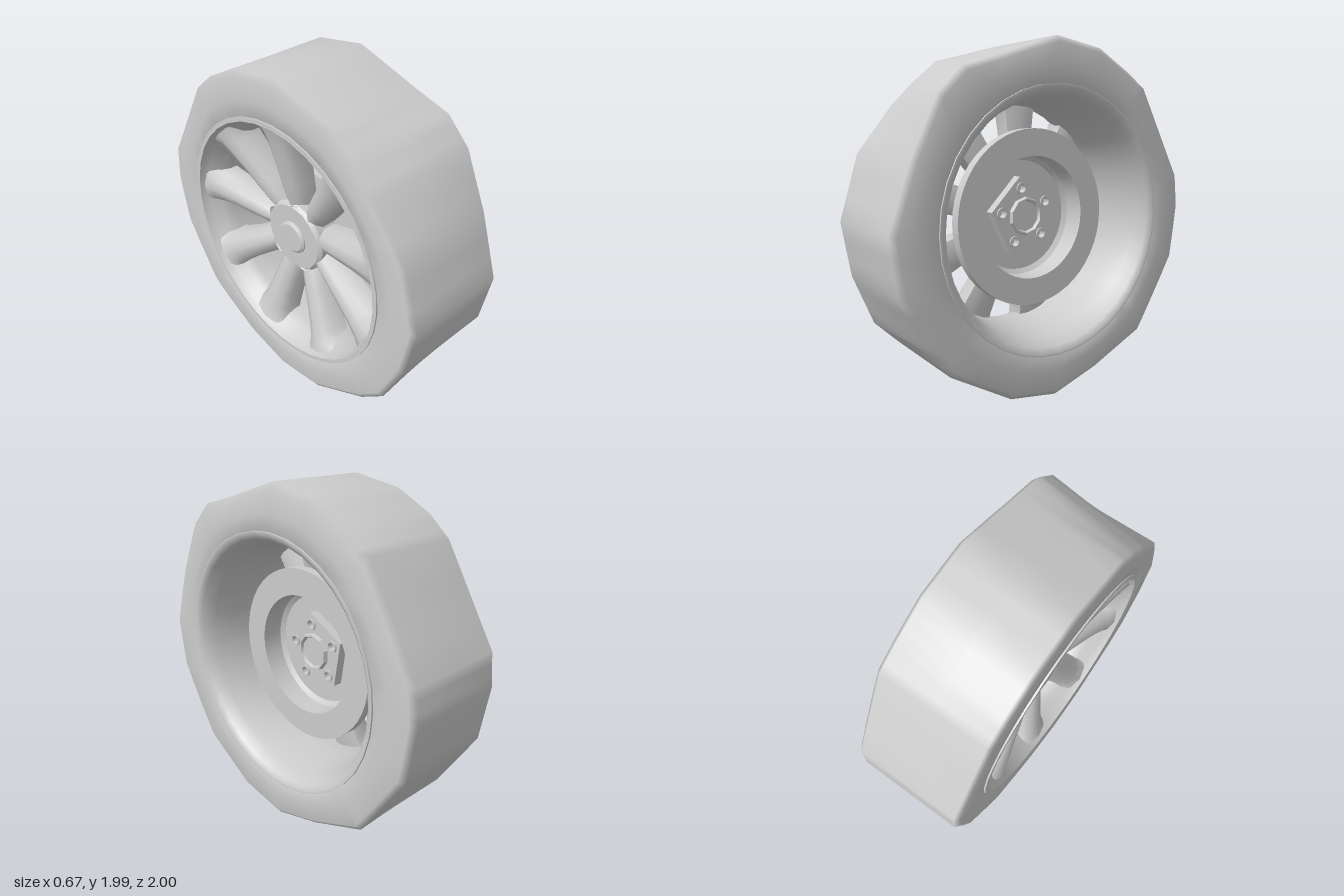
import * as THREE from 'three';
import { toCreasedNormals } from 'three/addons/utils/BufferGeometryUtils.js';

const rad = THREE.MathUtils.degToRad;
const lerp = THREE.MathUtils.lerp;
const material = new THREE.MeshStandardMaterial({ color: 0xcccccc });

function part(name, geometry) {
  const mesh = new THREE.Mesh(geometry, material);
  mesh.name = name;
  return mesh;
}

// Turned part around the axle (z): profile of [radius, z], outer side rising first
function turned(profile, sides, crease) {
  const g = new THREE.LatheGeometry(profile.map(([r, z]) => new THREE.Vector2(r, z)), sides);
  g.rotateX(Math.PI / 2);
  return toCreasedNormals(g, crease);
}

// Joins equal closed or open rings of points into a smooth skin
function loft(rings, closedRings, closedSection) {
  const n = rings[0].length, m = rings.length, index = [];
  for (let j = 0; j < (closedRings ? m : m - 1); j++) {
    for (let i = 0; i < (closedSection ? n : n - 1); i++) {
      const j2 = (j + 1) % m, i2 = (i + 1) % n;
      const a = j * n + i, b = j2 * n + i, c = j2 * n + i2, d = j * n + i2;
      index.push(a, b, c, a, c, d);
    }
  }
  const g = new THREE.BufferGeometry();
  g.setAttribute('position', new THREE.Float32BufferAttribute(rings.flat(2), 3));
  g.setIndex(index);
  g.computeVertexNormals();
  return g;
}

// Tyre: uneven polygonal tread, [angle, inboard radius, outboard radius]
function tyreGeometry() {
  const outline = [
    [-163, 1, 0.98], [-145, 0.97, 1], [-133, 1, 0.98], [-108, 0.995, 0.985],
    [-90, 0.995, 0.985], [-71, 0.95, 0.96], [-48, 1, 0.98], [-44, 0.985, 0.985],
    [-18, 1, 0.99], [1, 1, 0.99], [12, 1, 0.99], [48, 1, 0.975], [58, 0.985, 0.985],
    [72, 1, 0.99], [90, 1, 0.99], [114, 0.955, 0.97], [126, 1.01, 0.935],
    [137, 1, 0.925], [157, 0.95, 0.96], [179, 1, 0.99],
  ];
  // [z, height between bead and tread]
  const section = [[-0.28, -0.1], [-0.325, 0], [-0.33, 0.4], [-0.33, 0.87], [-0.31, 1],
    [0, 1], [0.295, 1], [0.322, 0.87], [0.325, 0.4], [0.325, 0], [0.28, -0.1]];
  const corner = ([deg, rIn, rOut], t) => {
    const r = lerp(rOut, rIn, t);
    return new THREE.Vector2(Math.cos(rad(deg)) * r, Math.sin(rad(deg)) * r);
  };
  const rings = [];
  outline.forEach((row, k) => {
    const next = outline[(k + 1) % outline.length];
    for (let s = 0; s < 3; s++) {
      rings.push(section.map(([z, h]) => {
        const t = (z + 0.33) / 0.66;
        const p = corner(row, t).lerp(corner(next, t), s / 3);
        p.setLength(lerp(0.74, p.length(), h));
        return [p.x, p.y, z];
      }));
    }
  });
  return loft(rings, true, false);
}

// Spoke: crowned section flaring into the rim, [radius, half width, front z, back z]
function spokeGeometry() {
  const stations = [[0.17, 0.062, -0.195, -0.05], [0.24, 0.074, -0.215, -0.06],
    [0.34, 0.08, -0.235, -0.07], [0.48, 0.087, -0.262, -0.085], [0.6, 0.1, -0.288, -0.1],
    [0.66, 0.115, -0.302, -0.11], [0.705, 0.15, -0.315, -0.12]];
  const across = [-1, -0.6, 0, 0.6, 1];
  const rings = stations.map(([r, w, front, back]) => [
    ...across.map((u) => [r, -w * u, back - 0.015 * u * u]),
    ...across.map((u) => [r, w * u, front + 0.06 * u * u]),
  ].reverse());
  // Corrects the direction of travel so that the faces look outwards
  return toCreasedNormals(loft(rings, false, true), rad(60));
}

// Plate across the axle with five bolt holes
const boltAngles = [0, 1, 2, 3, 4].map((k) => rad(99 + 72 * k));
const boltRadius = 0.165;
function drilledPlate(radius, sides, z0, z1, bevel) {
  const shape = new THREE.Shape(Array.from({ length: sides }, (_, k) => {
    const a = rad(99) + (k / sides) * Math.PI * 2;
    return new THREE.Vector2(Math.cos(a) * radius, Math.sin(a) * radius);
  }));
  for (const a of boltAngles) {
    const hole = new THREE.Path();
    hole.absarc(Math.cos(a) * boltRadius, Math.sin(a) * boltRadius, 0.034, 0, Math.PI * 2, true);
    shape.holes.push(hole);
  }
  const g = new THREE.ExtrudeGeometry(shape, {
    depth: z1 - z0 - 2 * bevel, curveSegments: 8, bevelEnabled: bevel > 0,
    bevelSize: bevel, bevelThickness: bevel, bevelOffset: -bevel, bevelSegments: 1,
  });
  g.translate(0, 0, z0 + bevel);
  return toCreasedNormals(g, rad(35));
}

export function createModel() {
  const model = new THREE.Group();
  model.name = 'wheel';
  // Axle is local z, turned to lie along x
  const wheel = new THREE.Group();
  wheel.name = 'wheelAssembly';
  wheel.rotation.y = Math.PI / 2;
  wheel.position.y = 1;
  model.add(wheel);

  wheel.add(part('tyre', tyreGeometry()));

  // Rim barrel with a rolled lip on each side
  wheel.add(part('rim', turned([
    [0.75, 0.29], [0.75, 0.335], [0.735, 0.335], [0.705, 0.312], [0.675, 0.23], [0.655, 0.11],
    [0.642, -0.03], [0.642, -0.17], [0.66, -0.23], [0.705, -0.28], [0.725, -0.335],
    [0.75, -0.335], [0.75, -0.29],
  ], 36, rad(60))));

  // Nine spokes
  const spoke = spokeGeometry();
  for (let k = 0; k < 9; k++) {
    const mesh = part('spoke', spoke);
    mesh.rotation.z = rad(5 + 40 * k);
    wheel.add(mesh);
  }

  // Brake disc with a deep sunken middle
  wheel.add(part('brakeDisc', turned([
    [0.18, -0.06], [0.36, -0.06], [0.365, 0.04], [0.51, 0.04], [0.51, 0.1], [0.355, 0.1],
    [0.352, -0.025], [0.325, -0.045], [0.18, -0.045],
  ], 48, rad(25))));

  // Hub: round outboard face and five-sided inboard pad
  wheel.add(part('hub', drilledPlate(0.22, 30, -0.21, -0.05, 0.02)));
  wheel.add(part('hubPad', drilledPlate(0.235, 5, -0.05, 0.01, 0)));

  // Hollow nuts inboard and bolt heads outboard, in the bolt holes
  const nut = turned([[0.036, -0.15], [0.036, 0.02], [0.024, 0.02], [0.02, -0.02],
    [0, -0.02]], 12, rad(35));
  const boltHead = new THREE.CylinderGeometry(0.025, 0.025, 0.04, 6);
  boltHead.rotateX(Math.PI / 2).translate(0, 0, -0.165);
  for (const a of boltAngles) {
    for (const [name, g] of [['nut', nut], ['boltHead', toCreasedNormals(boltHead, rad(30))]]) {
      const mesh = part(name, g);
      mesh.position.set(Math.cos(a) * boltRadius, Math.sin(a) * boltRadius, 0);
      wheel.add(mesh);
    }
  }

  // Centre boss inboard, centre cap outboard
  wheel.add(part('centreBoss', turned([[0.115, 0.005], [0.108, 0.035], [0.098, 0.035],
    [0.09, 0.015], [0, 0.015]], 10, rad(35))));
  wheel.add(part('centreCap', turned([[0, -0.23], [0.085, -0.228], [0.1, -0.217],
    [0.105, -0.19]], 20, rad(35))));

  return model;
}
